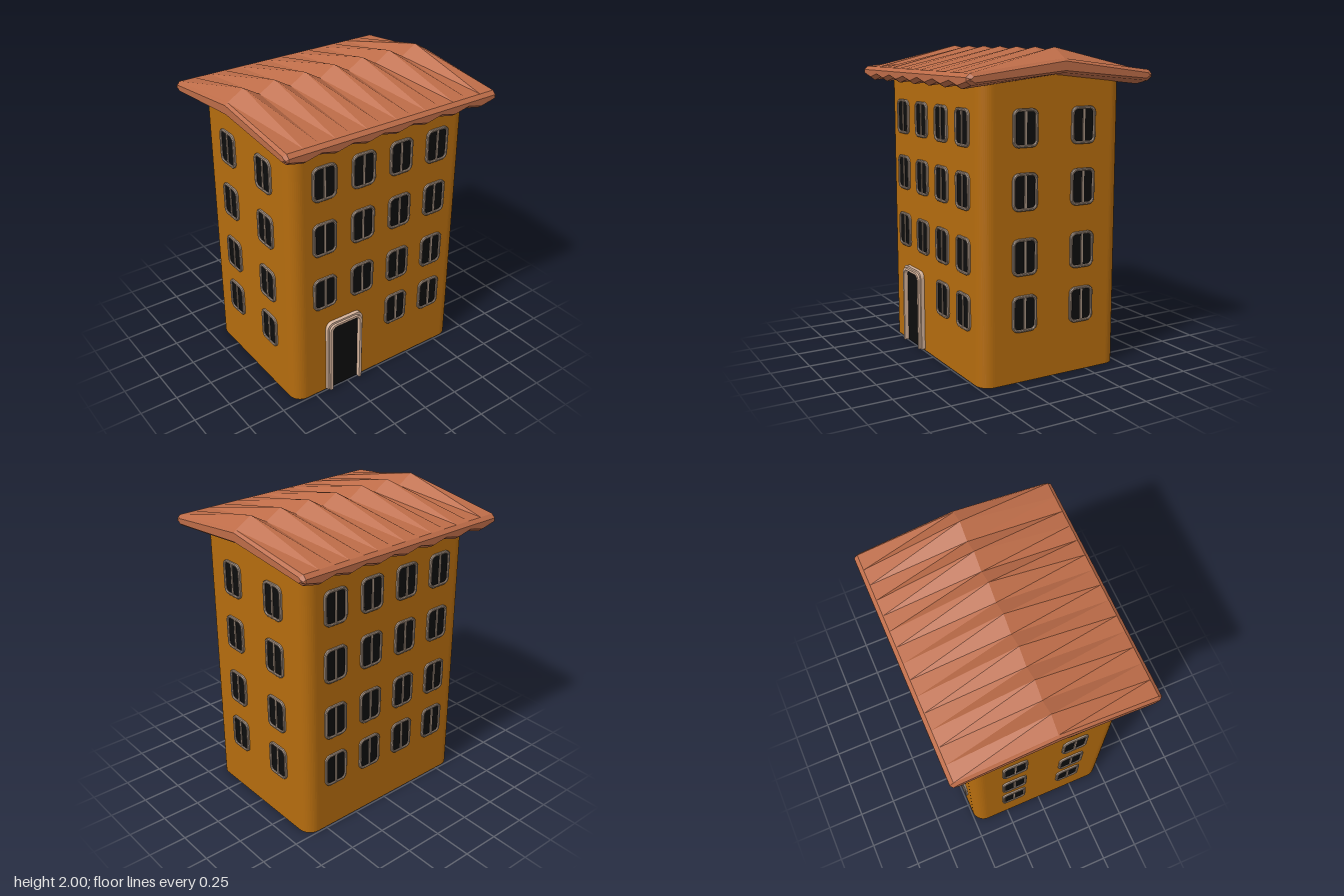
import * as THREE from 'three';

const paint = (color, extra = {}) => {
  const m = new THREE.MeshStandardMaterial(extra);
  m.color.set(color);
  return m;
};
const wallMat = paint(0xb56c0e);
const roofMat = paint(0xbd6c48, { flatShading: true });
const frameMat = paint(0xa08c7c);
const doorFrameMat = paint(0xd6b49c);
const glassMat = paint(0x0d0d0d);

function mesh(name, geometry, material) {
  const m = new THREE.Mesh(geometry, material);
  m.name = name;
  return m;
}

// Rounded rectangle centred on the origin, with a point in the middle of each long side
function roundedRect(w, h, r, Type = THREE.Shape) {
  const x = w / 2, y = h / 2, s = new Type();
  s.moveTo(x, 0);
  s.lineTo(x, y - r);
  s.absarc(x - r, y - r, r, 0, Math.PI / 2);
  s.absarc(-x + r, y - r, r, Math.PI / 2, Math.PI);
  s.lineTo(-x, 0);
  s.absarc(-x + r, -y + r, r, Math.PI, Math.PI * 1.5);
  s.absarc(x - r, -y + r, r, Math.PI * 1.5, Math.PI * 2);
  s.closePath();
  return s;
}

// Doorway outline: square feet, rounded upper corners
function doorway(w, h, r) {
  const x = w / 2, s = new THREE.Shape();
  s.moveTo(-x, 0);
  s.lineTo(x, 0);
  s.lineTo(x, h - r);
  s.absarc(x - r, h - r, r, 0, Math.PI / 2);
  s.absarc(-x + r, h - r, r, Math.PI / 2, Math.PI);
  s.closePath();
  return s;
}

// Walls: a rounded block whose top edge rises to the ridge
function createWalls() {
  const g = new THREE.ExtrudeGeometry(roundedRect(1.29, 0.98, 0.085), {
    depth: 1, bevelEnabled: false, curveSegments: 6,
  });
  g.rotateX(-Math.PI / 2);
  const p = g.attributes.position;
  for (let i = 0; i < p.count; i++) {
    if (p.getY(i) > 0.5) p.setY(i, 1.855 - 0.105 * Math.abs(p.getZ(i)));
  }
  return mesh('walls', g, wallMat);
}

// Roof: gable sections joined along x, alternating crest and valley
function createRoof() {
  const pitch = 0.2115;
  const section = (x, ridge, eave, low, under, inset) => [
    [0, ridge], [0.612 - inset, eave], [0.635 - inset, eave - 0.022],
    [0.635 - inset, low + 0.022], [0.605 - inset, low], [0, under],
    [-0.605 + inset, low], [-0.635 + inset, low + 0.022],
    [-0.635 + inset, eave - 0.022], [-0.612 + inset, eave],
  ].map(([z, y]) => [x, y, z]);

  const rings = [section(-0.757, 1.922, 1.845, 1.812, 1.868, 0.015)];
  for (let i = -7; i <= 7; i++) {
    const crest = i % 2 !== 0 ? 0 : 1;
    rings.push(section(i * pitch / 2, crest ? 2 : 1.937, 1.863,
      crest ? 1.773 : 1.797, crest ? 1.84 : 1.855, 0));
  }
  rings.push(section(0.757, 1.922, 1.845, 1.812, 1.868, 0.015));

  const pos = [], n = 10;
  const tri = (a, b, c) => pos.push(...a, ...b, ...c);
  for (let k = 0; k < rings.length - 1; k++) {
    const a = rings[k], b = rings[k + 1];
    for (let i = 0; i < n; i++) {
      const j = (i + 1) % n;
      tri(a[i], a[j], b[j]);
      tri(a[i], b[j], b[i]);
    }
  }
  // Gable ends
  const first = rings[0], last = rings[rings.length - 1];
  for (let i = 1; i < n - 1; i++) {
    const u = (5 + i) % n, v = (6 + i) % n;
    tri(last[5], last[u], last[v]);
    tri(first[5], first[v], first[u]);
  }
  const g = new THREE.BufferGeometry();
  g.setAttribute('position', new THREE.Float32BufferAttribute(pos, 3));
  g.computeVertexNormals();
  return mesh('roof', g, roofMat);
}

// Window parts, facing +z with the wall surface at z = 0
const frameShape = roundedRect(0.16, 0.216, 0.035);
frameShape.holes.push(roundedRect(0.146, 0.202, 0.03, THREE.Path));
const frameGeo = new THREE.ExtrudeGeometry(frameShape, {
  depth: 0.01, bevelThickness: 0.005, bevelSize: 0.005, bevelSegments: 1, curveSegments: 4,
});
const glassGeo = new THREE.ExtrudeGeometry(roundedRect(0.15, 0.206, 0.032), {
  depth: 0.006, bevelEnabled: false, curveSegments: 4,
});
const mullionGeo = new THREE.BoxGeometry(0.014, 0.204, 0.012);

function createWindow() {
  const w = new THREE.Group();
  w.name = 'window';
  const mullion = mesh('windowMullion', mullionGeo, frameMat);
  mullion.position.z = 0.006;
  w.add(mesh('windowFrame', frameGeo, frameMat), mesh('windowGlass', glassGeo, glassMat), mullion);
  return w;
}

// One wall's grid of windows, turned to face outward
function createFacade(name, columns, distance, angle, skip = () => false) {
  const f = new THREE.Group();
  f.name = name;
  [0.43, 0.777, 1.167, 1.54].forEach((y, row) => {
    columns.forEach((x) => {
      if (skip(row, x)) return;
      const w = createWindow();
      w.position.set(x, y, distance);
      f.add(w);
    });
  });
  f.rotation.y = angle;
  return f;
}

// Door: dark panel inside a stepped surround
function createDoor() {
  const d = new THREE.Group();
  d.name = 'door';
  const surround = (name, outerW, outerH, depth) => {
    const s = doorway(outerW, outerH, 0.045);
    const x = 0.105, h = 0.5, r = 0.035;
    // Cut the opening from the foot upward, leaving two jambs and a head
    const u = new THREE.Shape();
    u.moveTo(-outerW / 2, 0);
    u.lineTo(-x, 0);
    u.lineTo(-x, h - r);
    u.absarc(-x + r, h - r, r, Math.PI, Math.PI / 2, true);
    u.absarc(x - r, h - r, r, Math.PI / 2, 0, true);
    u.lineTo(x, 0);
    s.getPoints(4).slice(1, -1).forEach((p) => u.lineTo(p.x, p.y));
    return mesh(name, new THREE.ExtrudeGeometry(u, {
      depth, bevelEnabled: false, curveSegments: 4,
    }), doorFrameMat);
  };
  const panel = mesh('doorPanel', new THREE.ExtrudeGeometry(doorway(0.22, 0.505, 0.035), {
    depth: 0.012, bevelEnabled: false, curveSegments: 4,
  }), glassMat);
  d.add(surround('doorSurroundOuter', 0.27, 0.527, 0.025),
    surround('doorSurroundInner', 0.245, 0.515, 0.04), panel);
  d.position.set(-0.28, 0.01, 0.49);
  return d;
}

export function createModel() {
  const house = new THREE.Group();
  house.name = 'townHouse';
  const wide = [-0.42, -0.14, 0.14, 0.42], narrow = [-0.203, 0.203];
  house.add(
    createWalls(), createRoof(), createDoor(),
    createFacade('frontWindows', wide, 0.49, 0, (row, x) => row === 0 && x < 0),
    createFacade('backWindows', wide, 0.49, Math.PI),
    createFacade('leftWindows', narrow, 0.645, Math.PI / 2),
    createFacade('rightWindows', narrow, 0.645, -Math.PI / 2),
  );
  return house;
}
